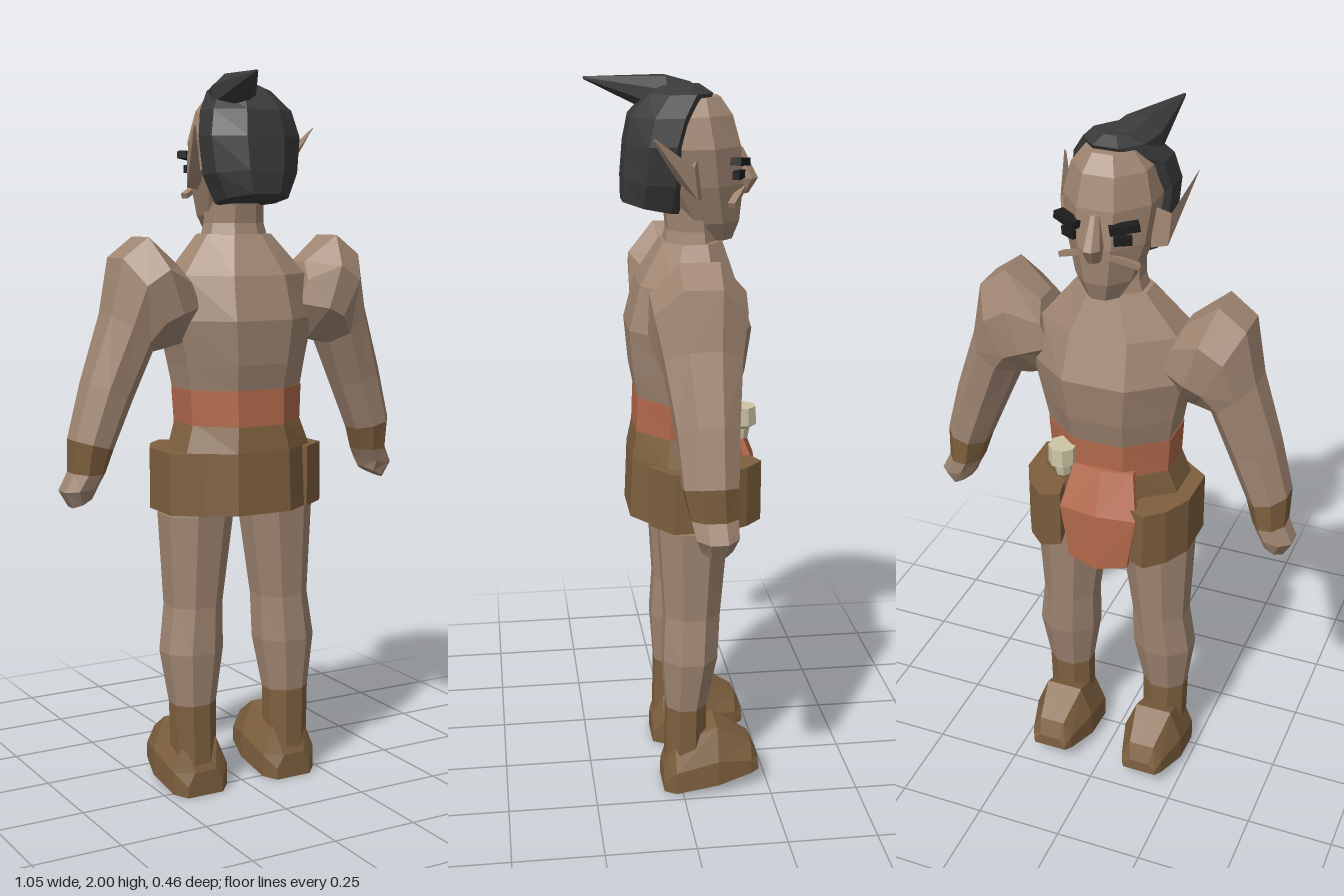
import * as THREE from 'three';

const mat = (name, color) => {
  const m = new THREE.MeshStandardMaterial({ color, flatShading: true });
  m.name = name;
  return m;
};

export function createModel() {
  const root = new THREE.Group();
  root.name = 'elfVillager';
  const skin = mat('skin', 0xa08672), hair = mat('hair', 0x3a3a3b), leather = mat('leather', 0x7e603e),
    cloth = mat('cloth', 0xb3694b), bone = mat('bone', 0xcdc5a5), dark = mat('eyeBlack', 0x1d1d1e);

  const add = (name, geo, m) => {
    const mesh = new THREE.Mesh(geo, m);
    mesh.name = name;
    root.add(mesh);
    return mesh;
  };

  // Closed surface through rings of [x, y, z] points, always facing outward
  const loft = (rings) => {
    const tris = [];
    const n = rings[0].length, last = rings.length - 1;
    for (let i = 0; i < last; i++) {
      for (let j = 0; j < n; j++) {
        const k = (j + 1) % n, a = rings[i][j], b = rings[i][k], c = rings[i + 1][k], d = rings[i + 1][j];
        tris.push([a, d, c], [a, c, b]);
      }
    }
    for (let j = 1; j < n - 1; j++) {
      tris.push([rings[0][0], rings[0][j], rings[0][j + 1]]);
      tris.push([rings[last][0], rings[last][j + 1], rings[last][j]]);
    }
    const v = (p) => new THREE.Vector3(...p);
    const volume = tris.reduce((s, [a, b, c]) => s + v(a).dot(v(b).cross(v(c))), 0);
    if (volume < 0) tris.forEach((t) => t.reverse());
    const geo = new THREE.BufferGeometry();
    geo.setAttribute('position', new THREE.Float32BufferAttribute(tris.flat(2), 3));
    geo.computeVertexNormals();
    return geo;
  };

  // Eight-sided unit section reaching 1 on its flat sides
  const section = Array.from({ length: 8 }, (_, j) => {
    const a = (j + 0.5) * Math.PI / 4, r = 1 / Math.cos(Math.PI / 8);
    return [r * Math.cos(a), r * Math.sin(a)];
  });
  // Level ring: height, centre x, half width, front z, back z, tilt
  const level = ([y, cx, rx, zf, zb, tilt = 0]) => section.map(([u, w]) => {
    const dz = w * (zb - zf) / 2;
    return [cx + u * rx, y + tilt * dz, (zf + zb) / 2 + dz];
  });
  // Limb ring: outer point, inner point, centre z, half depth
  const limb = (s) => ([px, py, qx, qy, zc, b]) => section.map(([u, w]) => [
    s * ((px + qx) / 2 + u * (px - qx) / 2), (py + qy) / 2 + u * (py - qy) / 2, zc + w * b]);

  // Trunk
  add('torso', loft([
    [1.14, 0, .172, -.165, .105], [1.22, 0, .185, -.185, .12], [1.34, 0, .21, -.2, .13],
    [1.46, 0, .19, -.16, .1], [1.57, 0, .1, -.125, .035]].map(level)), skin);
  add('neck', loft([[1.54, 0, .095, -.12, .035], [1.6, 0, .08, -.11, .02], [1.7, 0, .075, -.1, .03]].map(level)), skin);
  add('sash', loft([[1.05, 0, .17, -.165, .112], [1.15, 0, .176, -.167, .108]].map(level)), cloth);
  add('skirt', loft([
    [.81, 0, .2, -.15, .132], [.98, 0, .195, -.16, .125], [1.06, 0, .168, -.163, .11]].map(level)), leather);

  // Head and hair
  add('head', loft([
    [1.57, 0, .045, -.155, -.06], [1.62, 0, .075, -.172, 0], [1.72, 0, .105, -.18, .08],
    [1.82, 0, .118, -.172, .1], [1.9, 0, .1, -.15, .09], [1.945, 0, .065, -.12, .03]].map(level)), skin);
  add('hair', loft([
    [1.66, 0, .095, -.03, .14, .2], [1.73, 0, .125, -.045, .14, .1], [1.83, 0, .136, -.045, .132],
    [1.9, 0, .12, -.07, .118], [1.955, 0, .08, -.1, .07], [1.975, 0, .04, -.07, .03]].map(level)), hair);
  const tuft = [[-.03, 1.935, -.05, .05], [-.035, 1.94, .02, .066], [-.085, 1.987, .23, .004]];
  add('hairSpike', loft(tuft.map(([x, y, z, r]) => section.map(([u, w]) => [x + u * r, y + w * r * .85, z]))), hair);
  add('nose', loft([
    [1.69, 0, .018, -.2, -.16], [1.73, 0, .026, -.225, -.16], [1.81, 0, .013, -.185, -.15]].map(level)), skin);

  for (const s of [1, -1]) {
    const side = s > 0 ? 'left' : 'right';

    // Arm in bare, cuff and hand stretches
    const arm = [
      [.2, 1.49, .14, 1.33, -.03, .085], [.295, 1.565, .2, 1.28, -.028, .125], [.37, 1.51, .24, 1.27, -.028, .12],
      [.4, 1.36, .28, 1.26, -.03, .1], [.46, 1.18, .335, 1.13, -.035, .08], [.5, 1.03, .39, 1, -.037, .07],
      [.5, .94, .41, .935, -.045, .06], [.525, .89, .425, .905, -.05, .055], [.5, .845, .435, .88, -.05, .04],
    ].map(limb(s));
    add(side + 'Arm', loft(arm.slice(0, 6)), skin);
    add(side + 'Cuff', loft(arm.slice(5, 7)), leather);
    add(side + 'Hand', loft(arm.slice(6)), skin);

    // Leg, boot shaft and foot
    const leg = [
      [.05, s * .15, .06, -.07, .045], [.26, s * .152, .063, -.07, .042], [.41, s * .15, .085, -.1, .052],
      [.54, s * .14, .077, -.108, .045], [.8, s * .128, .1, -.13, .06], [.95, s * .1, .09, -.13, .08],
    ].map(level);
    add(side + 'Boot', loft(leg.slice(0, 2)), leather);
    add(side + 'Leg', loft(leg.slice(1)), skin);
    const foot = [[.052, 0, .07, .055], [.02, .006, .15, .085], [-.1, .028, .195, .09], [-.2, .045, .135, .062], [-.222, .05, .085, .05]];
    add(side + 'Foot', loft(foot.map(([z, b, t, w]) => {
      const m = b + (t - b) * .45, c = s * .145;
      return [[c - w, b, z], [c + w, b, z], [c + w, m, z], [c + w * .6, t, z], [c - w * .6, t, z], [c - w, m, z]];
    })), leather);

    // Hip flap wrapping from the side to the front
    const flap = [[.16, .09], [.24, .03], [.238, -.1], [.2, -.175], [.15, -.222], [.1, -.2], [.12, -.1]];
    add(side + 'HipFlap', loft([.81, .98].map((y) => flap.map(([x, z]) => [s * x, y, z]))), leather);

    // Pointed ear, from root to swept tip
    add(side + 'Ear', loft([
      [[.105, 1.69, -.06], [.105, 1.8, -.05], [.1, 1.75, -.01]],
      [[.145, 1.695, -.045], [.15, 1.78, -.035], [.13, 1.74, .005]],
      [[.182, 1.852, .07], [.184, 1.86, .073], [.18, 1.852, .076]],
    ].map((r) => r.map(([x, y, z]) => [s * x, y, z]))), skin);

    // Face details
    const bar = (name, w, h, d, x, y, z, ry, rz, m) => {
      const b = add(side + name, new THREE.BoxGeometry(w, h, d), m);
      b.position.set(s * x, y, z);
      b.rotation.set(0, s * ry, s * rz);
    };
    bar('Brow', .075, .02, .03, .075, 1.783, -.166, -.5, .12, dark);
    bar('Eye', .045, .022, .02, .07, 1.748, -.163, -.5, 0, dark);
    bar('CheekCrease', .085, .014, .02, .07, 1.69, -.158, -.5, -.4, skin);
  }

  // Front cloth: folded panel hanging from the sash
  const fold = [[1.07, -.165, .085], [.95, -.212, .11], [.79, -.212, .085]];
  add('frontCloth', loft(fold.map(([y, z, w], i) => {
    const c = -.015, dip = i === 2 ? .015 : 0;
    return [[c - w, y, z], [c, y - dip, z - .016], [c + w, y, z], [c + w, y, z + .018], [c, y - dip, z + .004], [c - w, y, z + .018]];
  })), cloth);

  // Bone charm beside the cloth
  add('boneCharm', loft([
    [1.035, .1, .02, -.19, -.14], [1.065, .1, .024, -.195, -.14], [1.075, .1, .036, -.212, -.13], [1.125, .1, .036, -.21, -.13],
  ].map(level)), bone);

  return root;
}
